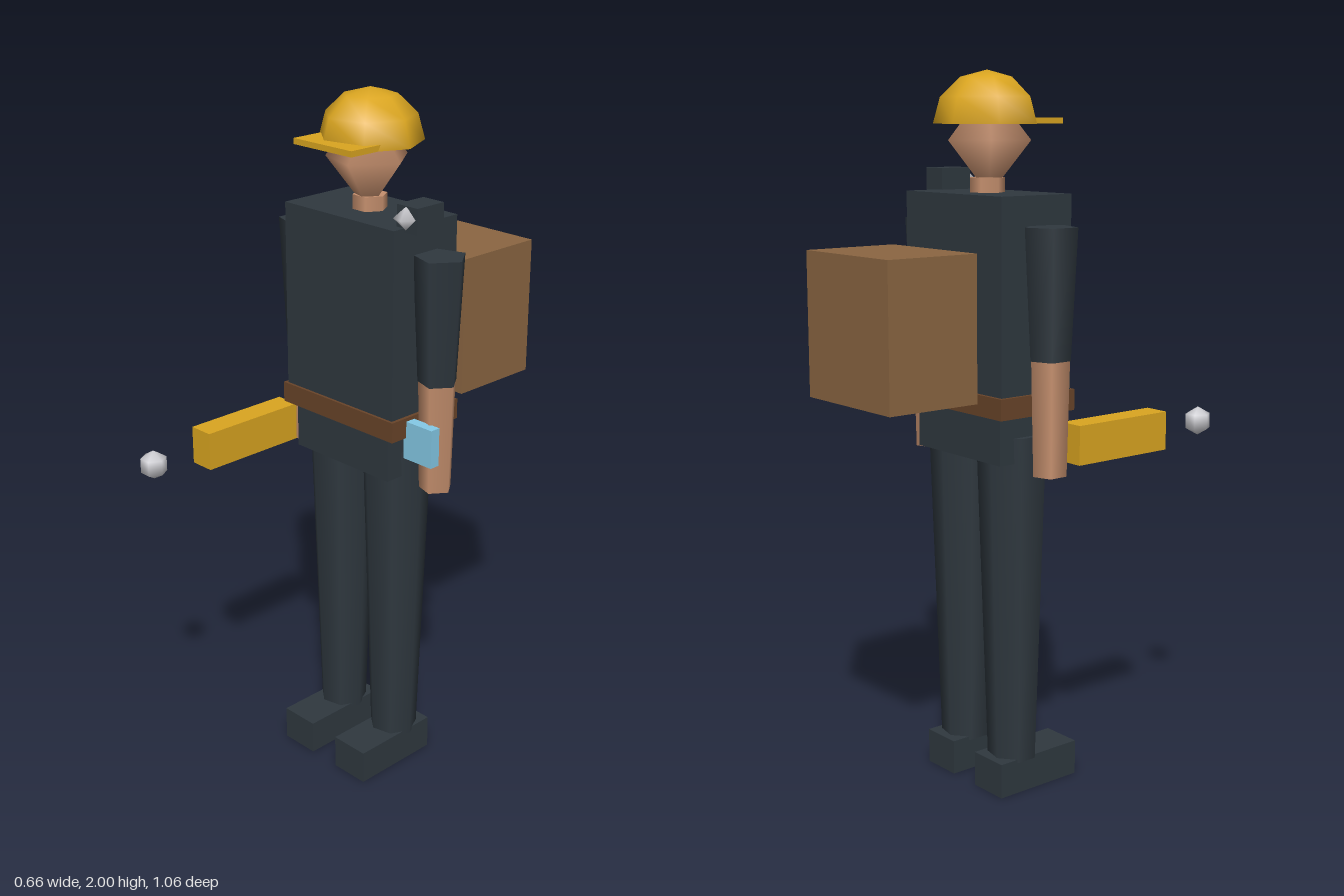
import * as THREE from 'three';

const paint = (name, color) => {
  const m = new THREE.MeshStandardMaterial({ color });
  m.name = name;
  return m;
};

export function createModel() {
  const model = new THREE.Group();
  model.name = 'worker';

  const cloth = paint('dark cloth', 0x2f383f);
  const yellow = paint('safety yellow', 0xdaa520);
  const skin = paint('skin', 0xc6906e);
  const canvas = paint('brown canvas', 0x8b6642);
  const leather = paint('dark leather', 0x694429);
  const screen = paint('light blue', 0x87ceeb);
  const silver = paint('silver', 0xd0d0d5);

  const CX = -0.008, CZ = -0.068; // axis of the body

  const add = (name, geometry, material, x, y, z) => {
    const mesh = new THREE.Mesh(geometry, material);
    mesh.name = name;
    mesh.position.set(x, y, z);
    model.add(mesh);
  };
  // box given by its limits on each axis
  const box = (name, material, x0, x1, y0, y1, z0, z1) =>
    add(name, new THREE.BoxGeometry(x1 - x0, y1 - y0, z1 - z0), material,
      (x0 + x1) / 2, (y0 + y1) / 2, (z0 + z1) / 2);
  // tapered upright prism with a corner towards +x
  const limb = (name, material, x, y0, y1, rBottom, rTop, sides) =>
    add(name, new THREE.CylinderGeometry(rTop, rBottom, y1 - y0, sides).rotateY(Math.PI / 2),
      material, x, (y0 + y1) / 2, CZ);
  // coarse ball with a corner towards +x
  const ball = (name, material, r, ry, sides, rings, x, y, z) =>
    add(name, new THREE.SphereGeometry(r, sides, rings).rotateY(Math.PI).scale(1, ry / r, 1),
      material, x, y, z);

  // torso, belt and hips
  box('torso', cloth, CX - 0.207, CX + 0.207, 1.1, 1.676, -0.188, 0.052);
  box('belt', leather, CX - 0.217, CX + 0.217, 1.092, 1.15, -0.198, 0.06);
  box('hips', cloth, CX - 0.181, CX + 0.181, 0.96, 1.14, -0.172, 0.04);

  // limbs
  for (const [side, s] of [['left', 1], ['right', -1]]) {
    limb(side + 'Leg', cloth, CX + s * 0.108, 0.09, 1.03, 0.07, 0.1, 7);
    const shoeX = CX + s * 0.109;
    box(side + 'Shoe', cloth, shoeX - 0.06, shoeX + 0.06, 0, 0.1, -0.158, 0.118);
    limb(side + 'UpperArm', cloth, CX + s * 0.262, 1.247, 1.597, 0.056, 0.073, 5);
    limb(side + 'Forearm', skin, CX + s * 0.262, 0.935, 1.25, 0.047, 0.054, 5);
  }

  // neck and head
  limb('neck', skin, CX, 1.65, 1.716, 0.048, 0.048, 6);
  ball('head', skin, 0.117, 0.147, 5, 2, CX, 1.815, -0.062);

  // hard hat: dome, underside and brim
  const dome = new THREE.SphereGeometry(0.146, 7, 3, 0, Math.PI * 2, 0, Math.PI / 2);
  add('hatDome', dome.rotateY(Math.PI).scale(1, 0.97, 1), yellow, CX, 1.858, CZ);
  const under = new THREE.CircleGeometry(0.146, 7).rotateX(Math.PI / 2);
  add('hatUnderside', under, yellow, CX, 1.858, CZ);
  box('hatBrim', yellow, CX - 0.108, CX + 0.108, 1.858, 1.874, -0.01, 0.107);

  // backpack
  box('backpack', canvas, -0.193, 0.176, 1.14, 1.533, -0.532, -0.252);

  // hand tool and the ball ahead of it
  box('handTool', yellow, -0.306, -0.232, 0.957, 1.066, 0.008, 0.334);
  ball('toolTip', silver, 0.0415, 0.0415, 6, 3, -0.27, 1.014, 0.5);

  // wrist screen
  box('wristScreen', screen, 0.2, 0.302, 1.03, 1.14, -0.025, 0.006);

  // shoulder lamp
  box('lampBody', cloth, 0.172, 0.245, 1.666, 1.736, -0.085, 0.014);
  ball('lampLens', silver, 0.033, 0.031, 5, 2, 0.209, 1.705, 0.019);

  return model;
}
